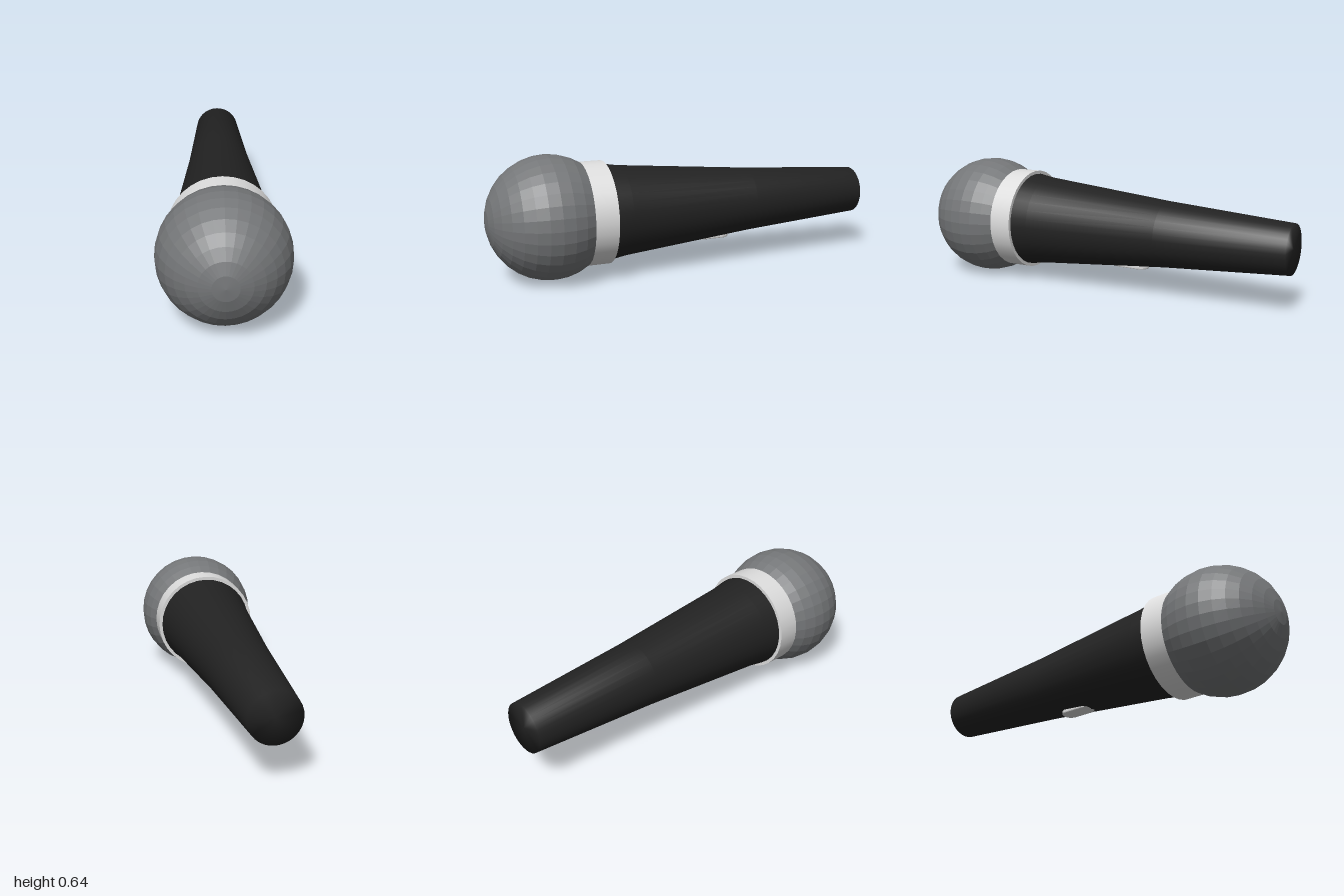
import * as THREE from 'three';

export function createModel() {
  const black = new THREE.MeshStandardMaterial({ color: 0x222222 });
  black.name = 'handle black';
  const silver = new THREE.MeshStandardMaterial({ color: 0xdddddd });
  silver.name = 'silver';
  const grey = new THREE.MeshStandardMaterial({ color: 0x757779, flatShading: true });
  grey.name = 'grille grey';

  // Everything is built along local +z, starting at the tail end
  const group = new THREE.Group();
  group.name = 'microphone';
  const body = new THREE.Group();
  body.name = 'body';
  body.position.set(-0.447, 0.32, -0.952);
  body.rotation.y = 0.398;
  group.add(body);

  const add = (name, geometry, material, y = 0, z = 0) => {
    const mesh = new THREE.Mesh(geometry, material);
    mesh.name = name;
    mesh.position.set(0, y, z);
    body.add(mesh);
    return mesh;
  };

  // Tapered handle, flaring slightly under the collar
  const profile = [[0, 0], [0.127, 0], [0.172, 0.67], [0.237, 1.39], [0.252, 1.48], [0.252, 1.55]]
    .map(([r, h]) => new THREE.Vector2(r, h));
  add('handle', new THREE.LatheGeometry(profile, 32).rotateX(Math.PI / 2), black);

  // Collar between handle and grille
  add('collar', new THREE.CylinderGeometry(0.269, 0.269, 0.122, 32).rotateX(Math.PI / 2), silver, 0, 1.539);

  // Faceted ball with its pole on the axis
  add('grille', new THREE.SphereGeometry(0.32, 32, 16).rotateX(Math.PI / 2), grey, 0, 1.771);

  // Pill-shaped switch set into the underside
  const s = 0.053, r = 0.045;
  const pill = new THREE.Shape();
  pill.absarc(0, s, r, 0, Math.PI);
  pill.absarc(0, -s, r, Math.PI, Math.PI * 2);
  const pillGeometry = new THREE.ExtrudeGeometry(pill, {
    depth: 0.04, bevelSize: 0.006, bevelThickness: 0.006, bevelOffset: -0.006, bevelSegments: 2, curveSegments: 12,
  });
  add('switch', pillGeometry.rotateX(Math.PI / 2), silver, -0.152, 0.872);

  return group;
}
